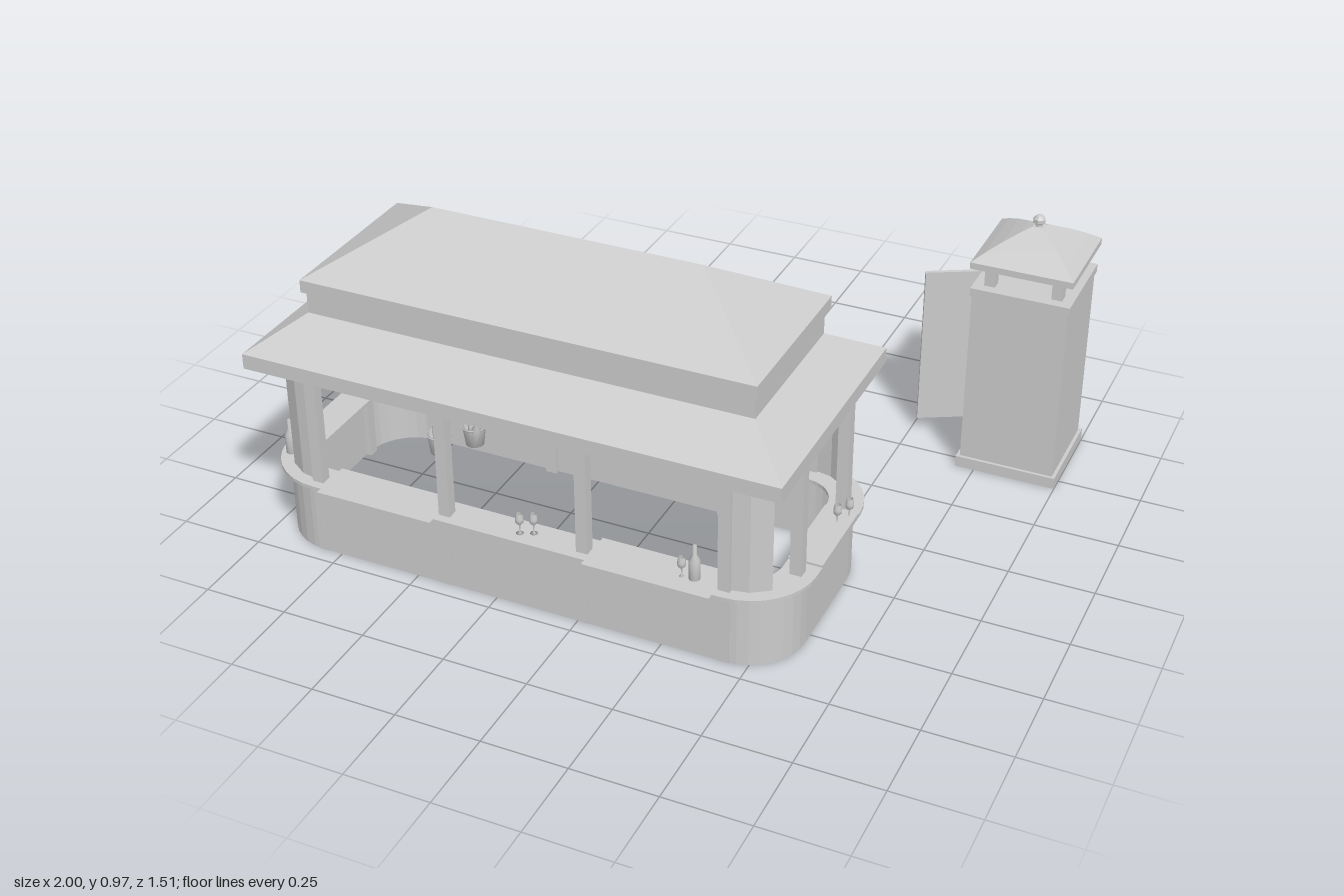
import * as THREE from 'three';

const mat = new THREE.MeshStandardMaterial({ color: 0xcccccc, flatShading: true, side: THREE.DoubleSide });
const smooth = new THREE.MeshStandardMaterial({ color: 0xcccccc, side: THREE.DoubleSide });
const CX = -0.1875, CZ = 0.377, HX = 0.787, HZ = 0.324, R = 0.165;

function add(parent, name, geo, x = 0, y = 0, z = 0, m = mat) {
  const mesh = new THREE.Mesh(geo, m);
  mesh.name = name;
  mesh.position.set(x, y, z);
  parent.add(mesh);
  return mesh;
}

// Box given by its extents
function box(parent, name, x0, x1, y0, y1, z0, z1) {
  return add(parent, name, new THREE.BoxGeometry(x1 - x0, y1 - y0, z1 - z0),
    (x0 + x1) / 2, (y0 + y1) / 2, (z0 + z1) / 2);
}

// Rounded rectangle around the bar, grown by d
function outline(path, d) {
  const hx = HX + d, hz = HZ + d, r = R + d, q = Math.PI / 2;
  path.moveTo(hx, -hz + r);
  path.absarc(hx - r, hz - r, r, 0, q);
  path.absarc(-hx + r, hz - r, r, q, 2 * q);
  path.absarc(-hx + r, -hz + r, r, 2 * q, 3 * q);
  path.absarc(hx - r, -hz + r, r, 3 * q, 4 * q);
  return path;
}

function ring(parent, name, outer, inner, y0, y1) {
  const shape = outline(new THREE.Shape(), outer);
  shape.holes.push(outline(new THREE.Path(), inner));
  const geo = new THREE.ExtrudeGeometry(shape, { depth: y1 - y0, bevelEnabled: false, curveSegments: 4 });
  geo.rotateX(-Math.PI / 2);
  return add(parent, name, geo, CX, y0, CZ);
}

// Skin through rectangular sections [x0, x1, z0, z1, y]
function rectLoft(parent, name, sections) {
  const p = [];
  const corners = ([x0, x1, z0, z1, y]) => [[x0, y, z1], [x1, y, z1], [x1, y, z0], [x0, y, z0]];
  for (let i = 0; i < sections.length - 1; i++) {
    const a = corners(sections[i]), b = corners(sections[i + 1]);
    for (let k = 0; k < 4; k++) {
      const n = (k + 1) % 4;
      p.push(...a[k], ...a[n], ...b[n], ...a[k], ...b[n], ...b[k]);
    }
  }
  const geo = new THREE.BufferGeometry();
  geo.setAttribute('position', new THREE.Float32BufferAttribute(p, 3));
  geo.computeVertexNormals();
  return add(parent, name, geo);
}

function lathe(points, n = 12) {
  return new THREE.LatheGeometry(points.map(([x, y]) => new THREE.Vector2(x, y)), n);
}
const bottleGeo = lathe([[0, 0], [0.016, 0], [0.016, 0.062], [0.006, 0.08], [0.006, 0.11], [0, 0.11]]);
const glassGeo = lathe([[0, 0], [0.011, 0.001], [0.002, 0.005], [0.002, 0.026], [0.011, 0.037], [0.012, 0.048], [0.009, 0.064]]);
const bucketGeo = lathe([[0, 0], [0.027, 0], [0.034, 0.058], [0.037, 0.058], [0.037, 0.062], [0.032, 0.062], [0.026, 0.006], [0, 0.006]], 16);

function buildBar() {
  const bar = new THREE.Group();
  bar.name = 'bar';
  ring(bar, 'counterWall', 0, -0.015, 0, 0.22);
  ring(bar, 'countertop', 0.028, -0.07, 0.22, 0.231);

  // Posts: front row, back row, ends
  const post = (x, z) => box(bar, 'post', x - 0.017, x + 0.017, 0, 0.6, z - 0.016, z + 0.016);
  for (const x of [-0.807, -0.402, 0.018, 0.43]) post(x, 0.687);
  for (const x of [-0.807, -0.402, 0.16, 0.43]) post(x, 0.067);
  for (const z of [0.545, 0.21]) { post(-0.96, z); post(0.575, z); }

  // Curved corner screens beside the end posts
  const q = Math.PI / 4;
  for (const sx of [-1, 1]) for (const sz of [-1, 1]) {
    const start = sz > 0 ? (sx > 0 ? 0 : -q) : (sx > 0 ? 3 * q : 4 * q);
    for (const r of [0.157, 0.145]) {
      add(bar, 'cornerScreen', new THREE.CylinderGeometry(r, r, 0.335, 2, 1, true, start, q),
        CX + sx * (HX - R), 0.393, CZ + sz * (HZ - R));
    }
  }

  // Mats draped over the counter edge
  const drape = (x0, x1, zIn, zOut) => {
    const w = x1 - x0, x = (x0 + x1) / 2;
    const top = new THREE.PlaneGeometry(w, Math.abs(zOut - zIn)).rotateX(-Math.PI / 2);
    add(bar, 'drapeTop', top, x, 0.234, (zIn + zOut) / 2);
    add(bar, 'drapeHang', new THREE.PlaneGeometry(w, 0.084), x, 0.192, zOut);
  };
  drape(-0.78, -0.42, 0.62, 0.752);
  drape(0.04, 0.41, 0.62, 0.752);
  drape(-0.78, -0.42, 0.13, -0.012);
  box(bar, 'hatch', 0.175, 0.415, 0.231, 0.25, 0.03, 0.13);
  box(bar, 'tray', 0.53, 0.628, 0.231, 0.238, 0.23, 0.5);

  // Double hipped roof
  rectLoft(bar, 'roof', [
    [-0.92, 0.545, 0.06, 0.69, 0.585],
    [-0.98, 0.605, -0.003, 0.752, 0.585],
    [-0.98, 0.605, -0.003, 0.752, 0.63],
    [-0.85, 0.473, 0.135, 0.61, 0.718],
    [-0.85, 0.473, 0.135, 0.61, 0.785],
    [-0.86, 0.482, 0.11, 0.623, 0.785],
    [-0.86, 0.482, 0.11, 0.623, 0.822],
    [-0.595, 0.215, 0.35, 0.35, 0.973],
  ]);

  // Bottles, glasses and ice buckets
  for (const [x, z] of [[-0.96, 0.6], [-0.34, 0.065], [0.34, 0.685]])
    add(bar, 'bottle', bottleGeo, x, 0.231, z, smooth);
  for (const [x, z] of [[-0.175, 0.69], [-0.14, 0.675], [0.305, 0.69], [0.105, 0.05], [-0.45, 0.05], [0.59, 0.295], [0.61, 0.255]])
    add(bar, 'glass', glassGeo, x, 0.231, z, smooth);
  for (const [x, z] of [[-0.575, 0.425], [-0.505, 0.345]]) {
    add(bar, 'iceBucket', bucketGeo, x, 0.231, z, smooth);
    for (const s of [-1, 1]) {
      const b = add(bar, 'chilledBottle', bottleGeo, x + s * 0.008, 0.24, z + s * 0.012, smooth);
      b.rotation.set(s * 0.15, 0, -s * 0.2);
      b.scale.setScalar(0.88);
    }
  }
  return bar;
}

function buildBooth() {
  const booth = new THREE.Group();
  booth.name = 'booth';
  booth.position.set(0.845, 0, -0.607);
  const sq = (h, y) => [-h, h, -h, h, y];

  // Base skirting and walls, with a doorway on one side
  rectLoft(booth, 'base', [sq(0.13, 0.035), sq(0.13, 0), sq(0.153, 0), sq(0.153, 0.035), sq(0.13, 0.035)]);
  const H = 0.143, T = 0.131;
  box(booth, 'frontWall', -H, H, 0.03, 0.585, T, H);
  box(booth, 'backWall', -H, H, 0.03, 0.585, -H, -T);
  box(booth, 'sideWall', T, H, 0.03, 0.585, -T, T);
  box(booth, 'doorJamb', -H, -T, 0.03, 0.585, -T, -0.103);
  box(booth, 'doorJamb', -H, -T, 0.03, 0.585, 0.105, T);
  box(booth, 'doorHead', -H, -T, 0.55, 0.585, -0.103, 0.105);
  box(booth, 'cornice', -0.148, 0.148, 0.585, 0.61, -0.148, 0.148);

  // Open door, hinged at the back of the doorway
  const door = new THREE.Group();
  door.name = 'door';
  door.position.set(-0.143, 0, -0.1);
  door.rotation.y = Math.atan2(0.1, 0.187);
  box(door, 'doorLeaf', -0.212, 0, 0.04, 0.55, -0.006, 0.006);
  booth.add(door);

  // Open lantern with corner posts
  for (const x of [-0.1, 0.1]) for (const z of [-0.1, 0.1])
    box(booth, 'lanternPost', x - 0.016, x + 0.016, 0.61, 0.678, z - 0.016, z + 0.016);

  // Bowed roof and finial
  rectLoft(booth, 'boothRoof', [
    sq(0, 0.675), sq(0.152, 0.675), sq(0.152, 0.695), sq(0.12, 0.718),
    sq(0.08, 0.743), sq(0.04, 0.764), sq(0.015, 0.775), sq(0, 0.775),
  ]);
  add(booth, 'finial', lathe([[0.011, 0.77], [0.011, 0.782], [0.018, 0.786], [0.018, 0.798], [0.01, 0.807], [0, 0.81]], 8));
  return booth;
}

export function createModel() {
  const model = new THREE.Group();
  model.name = 'barWithBooth';
  model.add(buildBar(), buildBooth());
  return model;
}
